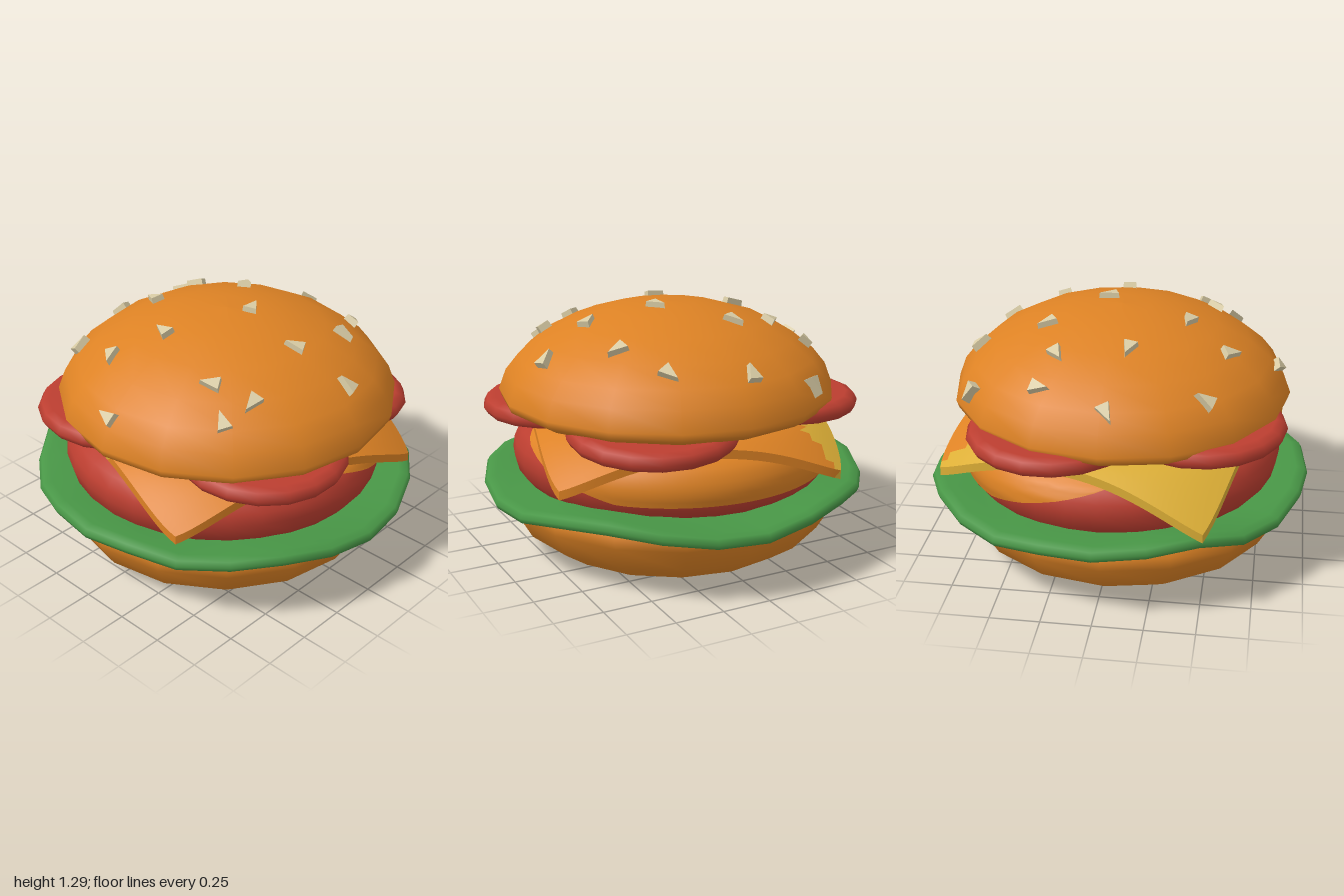
import * as THREE from 'three';
import { mergeVertices } from 'three/addons/utils/BufferGeometryUtils.js';

const mat = (name, color, side = THREE.FrontSide) => {
  const m = new THREE.MeshStandardMaterial({ color, side });
  m.name = name;
  return m;
};

// Piecewise-linear lookup through [key, value] pairs with rising keys
function lookup(pairs, k) {
  for (let i = 1; i < pairs.length; i++) {
    const [a, va] = pairs[i - 1], [b, vb] = pairs[i];
    if (k <= b) return va + (vb - va) * (k - a) / (b - a);
  }
  return pairs[pairs.length - 1][1];
}

// Lathe from [radius, height] pairs, with an optional rule that moves vertices
function turned(profile, sides, rule) {
  let g = new THREE.LatheGeometry(profile.map(([r, y]) => new THREE.Vector2(r, y)), sides);
  if (!rule) return g;
  g.deleteAttribute('uv');
  g.deleteAttribute('normal');
  const p = g.attributes.position, v = new THREE.Vector3();
  for (let i = 0; i < p.count; i++) {
    rule(v.fromBufferAttribute(p, i));
    p.setXYZ(i, v.x, v.y, v.z);
  }
  g = mergeVertices(g, 1e-4);
  g.computeVertexNormals();
  return g;
}

export function createModel() {
  const model = new THREE.Group();
  const orange = mat('bun orange', 0xdd8224);
  const yellow = mat('cheese yellow', 0xdcae36);
  const red = mat('tomato red', 0xbc3e30);
  const green = mat('lettuce green', 0x489646);
  const cream = mat('seed cream', 0xd8cba4);
  cream.flatShading = true;

  const add = (name, geometry, material, x = 0, y = 0, z = 0) => {
    const m = new THREE.Mesh(geometry, material);
    m.name = name;
    m.position.set(x, y, z);
    model.add(m);
    return m;
  };

  // Bottom bun
  add('bottomBun', turned([[0, 0], [0.645, 0], [0.66, 0.005], [0.8, 0.1], [0.875, 0.23],
    [0.875, 0.29], [0.84, 0.34], [0, 0.345]], 16), orange, 0, 0, 0.02);

  // Lettuce: a leaf whose rim waves, one height for every 15 degrees from the front
  const wave = [0.37, 0.39, 0.36, 0.37, 0.375, 0.345, 0.32, 0.325, 0.365, 0.375, 0.345, 0.315,
    0.31, 0.345, 0.37, 0.35, 0.34, 0.37, 0.37, 0.39, 0.41, 0.35, 0.34, 0.375];
  add('lettuce', turned([[0, -0.02], [0.72, -0.025], [0.84, -0.03], [0.95, -0.035], [0.99, -0.02],
    [1, 0.005], [0.985, 0.03], [0.94, 0.038], [0.84, 0.03], [0.72, 0.025], [0, 0.02]], 24, v => {
    const r = Math.hypot(v.x, v.z);
    const step = Math.round(Math.atan2(v.x, v.z) / (Math.PI / 12) + 24) % 24;
    const blend = THREE.MathUtils.smoothstep(r, 0.65, 0.93);
    v.y += 0.36 + (wave[step] - 0.36) * blend;
  }), green);

  // Patty
  const pattySide = [[0.34, 0.75], [0.42, 0.815], [0.5, 0.835], [0.56, 0.825], [0.62, 0.79],
    [0.66, 0.73], [0.68, 0.66]];
  add('patty', turned([[0, 0.34], ...pattySide.map(([y, r]) => [r, y]), [0, 0.685]], 32), red, 0.005, 0, 0.01);

  // Melted cheese film on the upper back of the patty, with a slanting lower edge
  const pos = [], idx = [], cols = 48, rows = 8;
  for (let i = 0; i <= cols; i++) {
    const a = THREE.MathUtils.degToRad(79 + 202 * i / cols);
    const low = Math.min(0.67, Math.max(0.44, 0.67 - 0.31 * (0.17 - 0.82 * Math.cos(a))));
    for (let j = 0; j <= rows; j++) {
      const y = low + (0.675 - low) * j / rows, r = lookup(pattySide, y) + 0.006;
      pos.push(r * Math.sin(a) + 0.005, y, r * Math.cos(a) + 0.01);
      if (i < cols && j < rows) {
        const k = i * (rows + 1) + j, n = k + rows + 1;
        idx.push(k, n, k + 1, n, n + 1, k + 1);
      }
    }
  }
  const film = new THREE.BufferGeometry();
  film.setAttribute('position', new THREE.Float32BufferAttribute(pos, 3));
  film.setIndex(idx);
  film.computeVertexNormals();
  add('meltedCheese', film, orange);

  // Cheese slice: a turned square whose corners droop, yellow on one side
  const half = 0.745, turn = 0.265;
  const cheese = new THREE.BoxGeometry(2, 0.045, 2, 28, 1, 28);
  const cp = cheese.attributes.position;
  for (let i = 0; i < cp.count; i++) {
    const a = cp.getX(i), b = cp.getZ(i);
    const s = half * (1 - 0.07 * (a * b) ** 4) * (a < 0 && b > 0 ? 1 + 0.05 * a * a * b * b : 1);
    const x = s * (a * Math.cos(turn) - b * Math.sin(turn));
    const z = s * (a * Math.sin(turn) + b * Math.cos(turn));
    const over = Math.max(0, Math.hypot(x, z) - 0.66);
    cp.setXYZ(i, x, 0.705 + cp.getY(i) - 0.2 * (over / 0.32) ** 1.4, z);
  }
  cheese.computeVertexNormals();
  const parts = [[], []], ci = cheese.index.array;
  for (let t = 0; t < ci.length; t += 3) {
    const tri = [ci[t], ci[t + 1], ci[t + 2]];
    const x = tri.reduce((sum, k) => sum + cp.getX(k), 0) / 3;
    const z = tri.reduce((sum, k) => sum + cp.getZ(k), 0) / 3;
    parts[x < -0.05 + 0.25 * (z - 0.8) ? 1 : 0].push(...tri);
  }
  cheese.setIndex([...parts[0], ...parts[1]]);
  cheese.clearGroups();
  cheese.addGroup(0, parts[0].length, 0);
  cheese.addGroup(parts[0].length, parts[1].length, 1);
  add('cheeseSlice', cheese, [orange, yellow]);

  // Tomato slices: x, y, z, tilt about x, tilt about z
  const slice = turned([[0, -0.048], [0.37, -0.048], [0.41, -0.035], [0.43, 0], [0.41, 0.035],
    [0.37, 0.048], [0, 0.048]], 18);
  [[0.33, 0.735, -0.43, 0.09, -0.03], [-0.46, 0.76, -0.27, 0, 0.02],
    [-0.3, 0.762, 0.45, 0.02, 0], [0.5, 0.742, 0.27, 0, -0.04]].forEach(([x, y, z, rx, rz]) => {
    add('tomatoSlice', slice, red, x, y, z).rotation.set(-rx, 0, rz);
  });

  // Top bun
  const dome = [[0, 1.265], [0.15, 1.257], [0.3, 1.235], [0.5, 1.175], [0.66, 1.09], [0.77, 1.0],
    [0.835, 0.92], [0.873, 0.82]];
  const cx = 0.03, cz = 0.01;
  add('topBun', turned([[0, 0.745], [0.7, 0.745], [0.81, 0.75], [0.86, 0.78], ...dome.slice().reverse()
    .map(([r, y]) => [r, y])], 16), orange, cx, 0, cz);

  // Sesame seeds: x, z, heading in degrees
  const seed = new THREE.CylinderGeometry(0.05, 0.056, 0.055, 3);
  seed.scale(0.8, 1, 1.25);
  const up = new THREE.Vector3(0, 1, 0);
  [[-0.42, -0.68, -150], [-0.05, -0.72, 0], [0.34, -0.61, 200], [-0.6, -0.31, -20],
    [-0.43, -0.25, -60], [-0.16, -0.33, -150], [0.47, -0.36, 95], [0.13, -0.06, 200],
    [0.48, 0, -60], [0.74, -0.08, -70], [-0.73, 0.03, -60], [-0.4, 0.1, -100],
    [-0.06, 0.36, -100], [-0.56, 0.49, 170], [-0.22, 0.57, 30], [0.37, 0.47, -60],
    [0.56, 0.4, 10], [0.52, 0.56, -120], [0.02, 0.81, -100]].forEach(([x, z, deg]) => {
    const dx = x - cx, dz = z - cz, r = Math.hypot(dx, dz);
    const slope = (lookup(dome, Math.max(0, r - 0.03)) - lookup(dome, r + 0.03)) / 0.06;
    const normal = new THREE.Vector3(dx / r * slope, 1, dz / r * slope).normalize();
    const m = add('sesameSeed', seed, cream, x, lookup(dome, r), z);
    m.quaternion.setFromUnitVectors(up, normal)
      .multiply(new THREE.Quaternion().setFromAxisAngle(up, THREE.MathUtils.degToRad(deg)));
  });

  return model;
}
